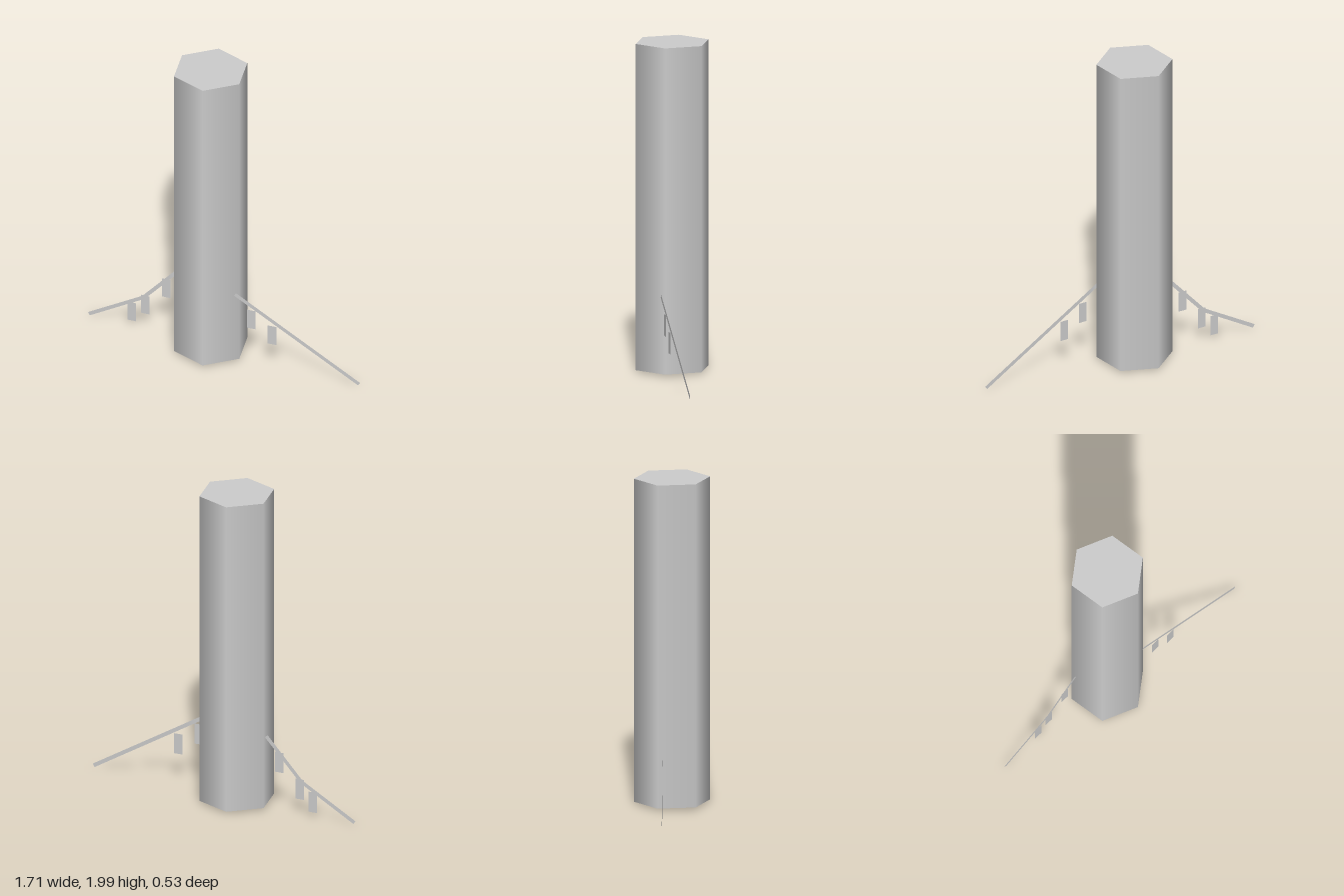
import * as THREE from 'three';

const grey = new THREE.MeshStandardMaterial({ color: 0xcccccc, side: THREE.DoubleSide });
grey.name = 'pale grey';

function add(parent, name, geometry) {
  const mesh = new THREE.Mesh(geometry, grey);
  mesh.name = name;
  parent.add(mesh);
  return mesh;
}

// Flat outline in (distance, height), used for the ropes
function ropeShape(points, width) {
  const pts = points.map(p => new THREE.Vector2(...p));
  const upper = [], lower = [];
  pts.forEach((p, i) => {
    const before = pts[Math.max(i - 1, 0)], after = pts[Math.min(i + 1, pts.length - 1)];
    const dir = after.clone().sub(before).normalize();
    const side = new THREE.Vector2(-dir.y, dir.x).multiplyScalar(width / 2);
    upper.push(p.clone().add(side));
    lower.unshift(p.clone().sub(side));
  });
  return new THREE.ShapeGeometry(new THREE.Shape([...lower, ...upper]));
}

// Rope with hanging tags, all in one upright plane turned about its anchor
function makeLine(name, anchor, end, path, tags) {
  const line = new THREE.Group();
  line.name = name;
  const dx = end[0] - anchor[0], dz = end[1] - anchor[1];
  const stretch = Math.hypot(dx, dz) / Math.abs(dx);
  const along = x => Math.abs(x - anchor[0]) * stretch;
  add(line, 'rope', ropeShape(path.map(([x, y]) => [along(x), y]), 0.024));
  for (const [x, y] of tags) {
    add(line, 'hangingTag', new THREE.PlaneGeometry(0.05 * stretch, 0.13))
      .position.set(along(x), y, 0);
  }
  line.position.set(anchor[0], 0, anchor[1]);
  line.rotation.y = Math.atan2(-dz, dx);
  return line;
}

export function createModel() {
  const model = new THREE.Group();
  model.name = 'pillarWithRopes';

  // Six-sided pillar, smooth walls, flat top, open below
  const pillar = new THREE.Group();
  pillar.name = 'pillar';
  pillar.position.set(-0.09, 0, 0.018);
  model.add(pillar);
  add(pillar, 'pillarWall', new THREE.CylinderGeometry(0.23, 0.23, 1.98, 6, 1, true, Math.PI / 6))
    .position.y = 1.01;
  const top = add(pillar, 'pillarTop', new THREE.CircleGeometry(0.23, 6));
  top.rotation.x = -Math.PI / 2;
  top.position.y = 2;

  // Straight rope on the left, bent rope on the right
  model.add(makeLine('leftRope', [0.13, 0.045], [0.85, -0.262],
    [[0.13, 0.493], [0.85, 0.018]],
    [[0.225, 0.335], [0.345, 0.25]]));
  model.add(makeLine('rightRope', [-0.31, 0.05], [-0.85, 0.26],
    [[-0.31, 0.475], [-0.525, 0.22], [-0.85, 0.018]],
    [[-0.39, 0.32], [-0.515, 0.17], [-0.595, 0.1]]));

  return model;
}
